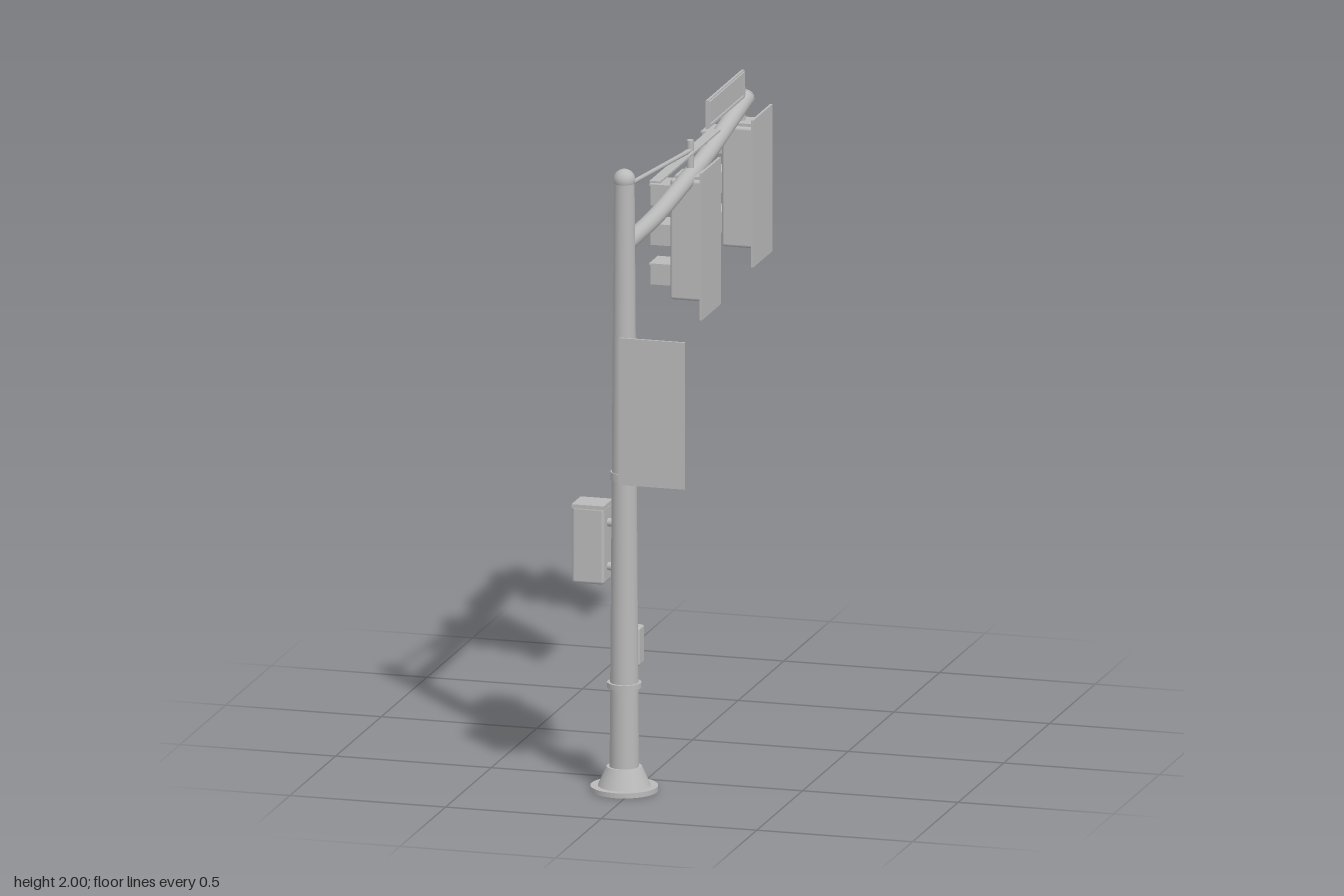
import * as THREE from 'three';
import { RoundedBoxGeometry } from 'three/addons/geometries/RoundedBoxGeometry.js';

const PX = -0.03, PZ = 0.645; // pole axis

export function createModel() {
  const model = new THREE.Group();
  model.name = 'trafficSignalPole';
  const grey = new THREE.MeshStandardMaterial({ color: 0xbababa });
  grey.name = 'galvanised grey';

  const add = (name, geo, x, y, z, parent = model) => {
    const m = new THREE.Mesh(geo, grey);
    m.name = name;
    m.position.set(x, y, z);
    parent.add(m);
    return m;
  };
  const box = (name, w, h, d, x, y, z, parent) =>
    add(name, new THREE.BoxGeometry(w, h, d), x, y, z, parent);
  const rbox = (name, w, h, d, r, x, y, z, parent) =>
    add(name, new RoundedBoxGeometry(w, h, d, 2, r), x, y, z, parent);
  // vertical cylinder between two heights
  const cyl = (name, rTop, rBot, y0, y1, x, z, parent) =>
    add(name, new THREE.CylinderGeometry(rTop, rBot, y1 - y0, 32), x, (y0 + y1) / 2, z, parent);
  // round rod between two points
  const rod = (name, a, b, r, parent) => {
    const dir = b.clone().sub(a);
    const mid = a.clone().add(b).multiplyScalar(0.5);
    const m = add(name, new THREE.CylinderGeometry(r, r, dir.length(), 16), mid.x, mid.y, mid.z, parent);
    m.quaternion.setFromUnitVectors(new THREE.Vector3(0, 1, 0), dir.normalize());
    return m;
  };
  const V = (x, y, z) => new THREE.Vector3(x, y, z);

  // Pole, base and collars
  cyl('baseFlange', 0.105, 0.105, 0, 0.016, PX, PZ);
  cyl('baseCone', 0.055, 0.082, 0.016, 0.077, PX, PZ);
  cyl('pole', 0.032, 0.046, 0.016, 1.947, PX, PZ);
  cyl('lowerCollar', 0.053, 0.053, 0.328, 0.345, PX, PZ);
  cyl('upperCollar', 0.043, 0.043, 0.99, 1.015, PX, PZ);
  add('poleCap', new THREE.SphereGeometry(0.034, 32, 16), PX, 1.945, PZ);

  // Curved mast arm with a closed end
  const path = new THREE.CatmullRomCurve3([
    [0.63, 1.735], [0.3, 1.742], [0, 1.77], [-0.25, 1.797], [-0.48, 1.836], [-0.68, 1.872],
  ].map(([z, y]) => V(PX, y, z)));
  add('mastArm', new THREE.TubeGeometry(path, 40, 0.027, 20), 0, 0, 0);
  const tip = path.getPoint(1);
  rod('armEndCap', tip, tip.clone().addScaledVector(path.getTangent(1), 0.006), 0.028);

  // Stay rod and flat bar above the arm
  rod('stayRod', V(PX, 1.92, 0.63), V(PX, 1.842, -0.24), 0.007);
  box('flatBar', 0.034, 0.006, 0.66, PX, 1.853, -0.02);

  // Signal head facing -z, measured from the bottom of its back plate
  const signal = (name, x, y, z, turn) => {
    const g = new THREE.Group();
    g.name = name;
    g.position.set(x, y, z);
    g.rotation.y = turn;
    model.add(g);
    box('backPlate', 0.21, 0.468, 0.008, 0, 0.234, 0.059, g);
    rbox('signalHousing', 0.11, 0.385, 0.11, 0.01, 0, 0.2375, 0, g);
    box('housingCap', 0.085, 0.012, 0.085, 0, 0.433, 0, g);
    for (let i = 0; i < 3; i++) {
      const top = 0.152 + i * 0.126;
      const lens = add('lens', new THREE.CylinderGeometry(0.038, 0.038, 0.008, 28), 0, top - 0.042, -0.057, g);
      lens.rotation.x = Math.PI / 2;
      box('visorTop', 0.096, 0.005, 0.07, 0, top, -0.088, g);
      for (const s of [-1, 1])
        box('visorSide', 0.005, 0.063, 0.066, s * 0.0445, top - 0.033, -0.086, g);
    }
    return g;
  };
  signal('poleSignal', 0.077, 0.988, 0.645, 0);
  signal('innerArmSignal', -0.025, 1.346, -0.077, Math.PI / 2);
  signal('outerArmSignal', -0.025, 1.373, -0.642, Math.PI / 2);
  cyl('innerHanger', 0.011, 0.011, 1.77, 1.89, PX, -0.077);
  cyl('outerHanger', 0.011, 0.011, 1.8, 1.915, PX, -0.642);
  for (const y of [1.09, 1.36])
    rod('signalBracket', V(PX, y, PZ), V(0.05, y, PZ), 0.014);

  // Street name blade with a raised rim on its +x face
  box('signPanel', 0.008, 0.09, 0.395, 0.001, 1.953, -0.352);
  for (const s of [-1, 1]) {
    box('signRimLong', 0.006, 0.008, 0.38, 0.007, 1.953 + s * 0.037, -0.352);
    box('signRimShort', 0.006, 0.07, 0.008, 0.007, 1.953, -0.352 + s * 0.186);
  }

  // Pedestrian signal, facing -z
  rbox('pedestrianHousing', 0.104, 0.245, 0.1, 0.01, -0.134, 0.782, 0.642);
  box('pedestrianCap', 0.104, 0.012, 0.1, -0.134, 0.905, 0.642);
  for (const y of [0.837, 0.73])
    rbox('pedestrianPanel', 0.084, 0.096, 0.008, 0.003, -0.134, y, 0.591);
  for (const y of [0.71, 0.85])
    rod('pedestrianBracket', V(PX, y, PZ), V(-0.1, y, PZ), 0.013);

  // Push button box, facing -z
  rbox('buttonBox', 0.075, 0.122, 0.055, 0.007, PX, 0.447, 0.578);
  const ring = add('buttonRing', new THREE.TorusGeometry(0.019, 0.004, 10, 28), PX, 0.437, 0.55);
  ring.rotation.y = Math.PI;
  rod('button', V(PX, 0.437, 0.555), V(PX, 0.437, 0.545), 0.014);
  box('buttonPlate', 0.045, 0.025, 0.004, PX, 0.482, 0.5495);

  return model;
}
